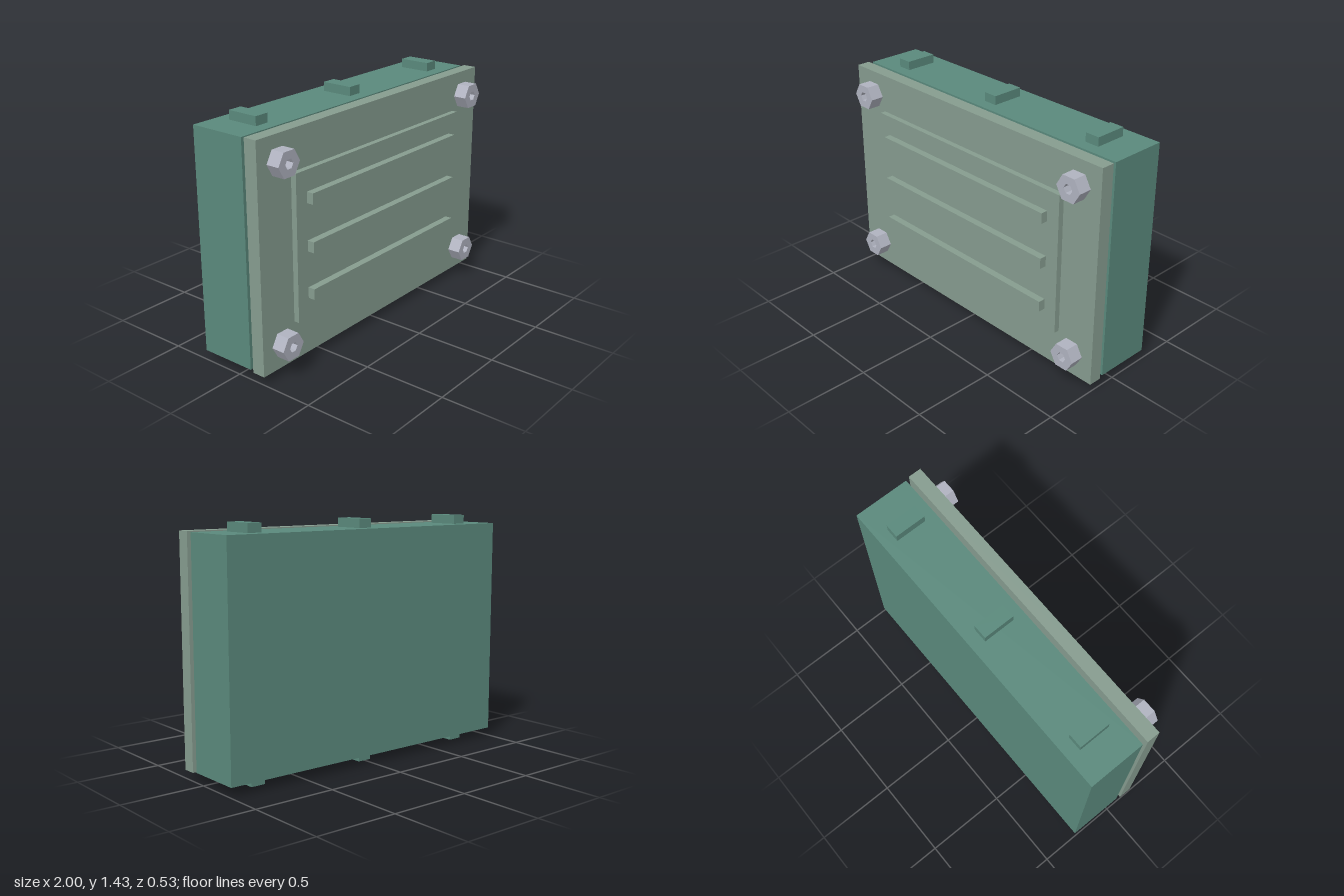
import * as THREE from 'three';

export function createModel() {
  const model = new THREE.Group();
  model.name = 'ribbedPanelBlock';

  const material = (name, color) => {
    const m = new THREE.MeshStandardMaterial({ color });
    m.name = name;
    return m;
  };
  const darkGreen = material('darkGreen', 0x5a897c);
  const greyGreen = material('greyGreen', 0x869c8f);
  const steel = material('steel', 0xb0b3c0);

  // Box given by its limits on each axis
  const box = (name, mat, [x0, x1], [y0, y1], [z0, z1]) => {
    const mesh = new THREE.Mesh(new THREE.BoxGeometry(x1 - x0, y1 - y0, z1 - z0), mat);
    mesh.position.set((x0 + x1) / 2, (y0 + y1) / 2, (z0 + z1) / 2);
    mesh.name = name;
    model.add(mesh);
  };

  // Main block and the separate front plate
  box('body', darkGreen, [-0.993, 0.993], [0.053, 1.376], [-0.267, 0.08]);
  box('frontPlate', greyGreen, [-1, 1], [0.048, 1.381], [0.106, 0.187]);

  // Raised panel with three horizontal ribs
  box('raisedPanel', greyGreen, [-0.75, 0.75], [0.285, 1.147], [0.187, 0.221]);
  for (const y of [0.438, 0.715, 0.993]) {
    box('rib', greyGreen, [-0.667, 0.667], [y - 0.032, y + 0.032], [0.221, 0.264]);
  }

  // Lugs on top and bottom of the block
  for (const x of [-0.767, 0, 0.767]) {
    box('topLug', darkGreen, [x - 0.044, x + 0.044], [1.376, 1.429], [-0.187, 0.007]);
    box('bottomLug', darkGreen, [x - 0.044, x + 0.044], [0, 0.053], [-0.187, 0.007]);
  }

  // Hexagonal nuts with an open centre
  const hexagon = (r) => Array.from({ length: 6 }, (_, i) =>
    new THREE.Vector2(r * Math.cos(i * Math.PI / 3), r * Math.sin(i * Math.PI / 3)));
  const nutShape = new THREE.Shape(hexagon(0.081));
  nutShape.holes.push(new THREE.Path(hexagon(0.03).reverse()));
  const nutGeometry = new THREE.ExtrudeGeometry(nutShape, { depth: 0.081, bevelEnabled: false });
  for (const x of [-0.848, 0.848]) {
    for (const y of [0.195, 1.236]) {
      const nut = new THREE.Mesh(nutGeometry, steel);
      nut.position.set(x, y, 0.187);
      nut.name = 'hexNut';
      model.add(nut);
    }
  }

  return model;
}
